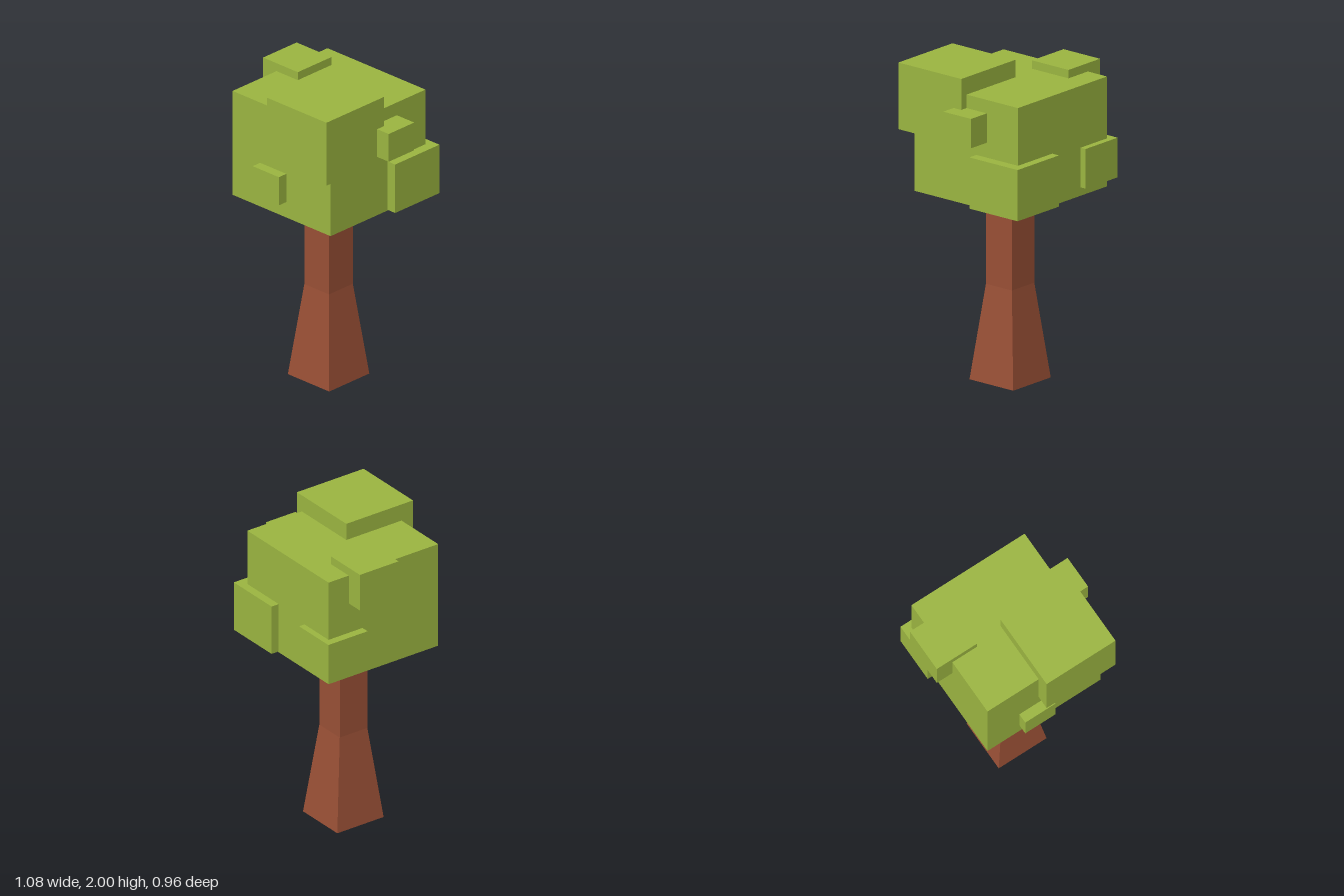
import * as THREE from 'three';

const bark = new THREE.MeshStandardMaterial({ color: 0x984f35 });
bark.name = 'bark brown';
const leaf = new THREE.MeshStandardMaterial({ color: 0x9ab440 });
leaf.name = 'leaf green';

// Box between two corners
function block(name, [x0, y0, z0], [x1, y1, z1]) {
  const mesh = new THREE.Mesh(new THREE.BoxGeometry(x1 - x0, y1 - y0, z1 - z0), leaf);
  mesh.position.set((x0 + x1) / 2, (y0 + y1) / 2, (z0 + z1) / 2);
  mesh.name = name;
  return mesh;
}

// Square trunk: straight above, flared towards the ground
function makeTrunk() {
  const height = 1.2, topWidth = 0.206, baseWidth = 0.346;
  let geometry = new THREE.BoxGeometry(topWidth, height, topWidth, 1, 2, 1);
  geometry.translate(0, height / 2, 0);
  const p = geometry.attributes.position;
  for (let i = 0; i < p.count; i++) {
    if (p.getY(i) < 0.01) {
      p.setX(i, Math.sign(p.getX(i)) * baseWidth / 2);
      p.setZ(i, Math.sign(p.getZ(i)) * baseWidth / 2);
    }
  }
  geometry = geometry.toNonIndexed();
  geometry.computeVertexNormals();
  const mesh = new THREE.Mesh(geometry, bark);
  mesh.position.set(-0.018, 0, -0.013);
  mesh.name = 'trunk';
  return mesh;
}

export function createModel() {
  const tree = new THREE.Group();
  tree.name = 'tree';

  // Foliage: one main block with smaller clumps poking out of it
  const foliage = new THREE.Group();
  foliage.name = 'foliage';
  foliage.add(
    block('mainFoliage', [-0.428, 1.197, -0.427], [0.391, 1.89, 0.392]),
    block('frontTopClump', [-0.058, 1.58, -0.02], [0.44, 2, 0.478]),
    block('rightTopClump', [-0.54, 1.7, -0.276], [-0.25, 1.943, 0.013]),
    block('leftSmallClump', [0.316, 1.62, -0.18], [0.536, 1.805, 0.04]),
    block('frontSmallClump', [-0.198, 1.3, 0.236], [0.021, 1.488, 0.456]),
    block('backLeftClump', [0.075, 1.203, -0.48], [0.456, 1.526, -0.098]),
    block('backRightClump', [-0.48, 1.25, -0.467], [-0.185, 1.5, -0.174]),
  );

  tree.add(makeTrunk(), foliage);
  return tree;
}
